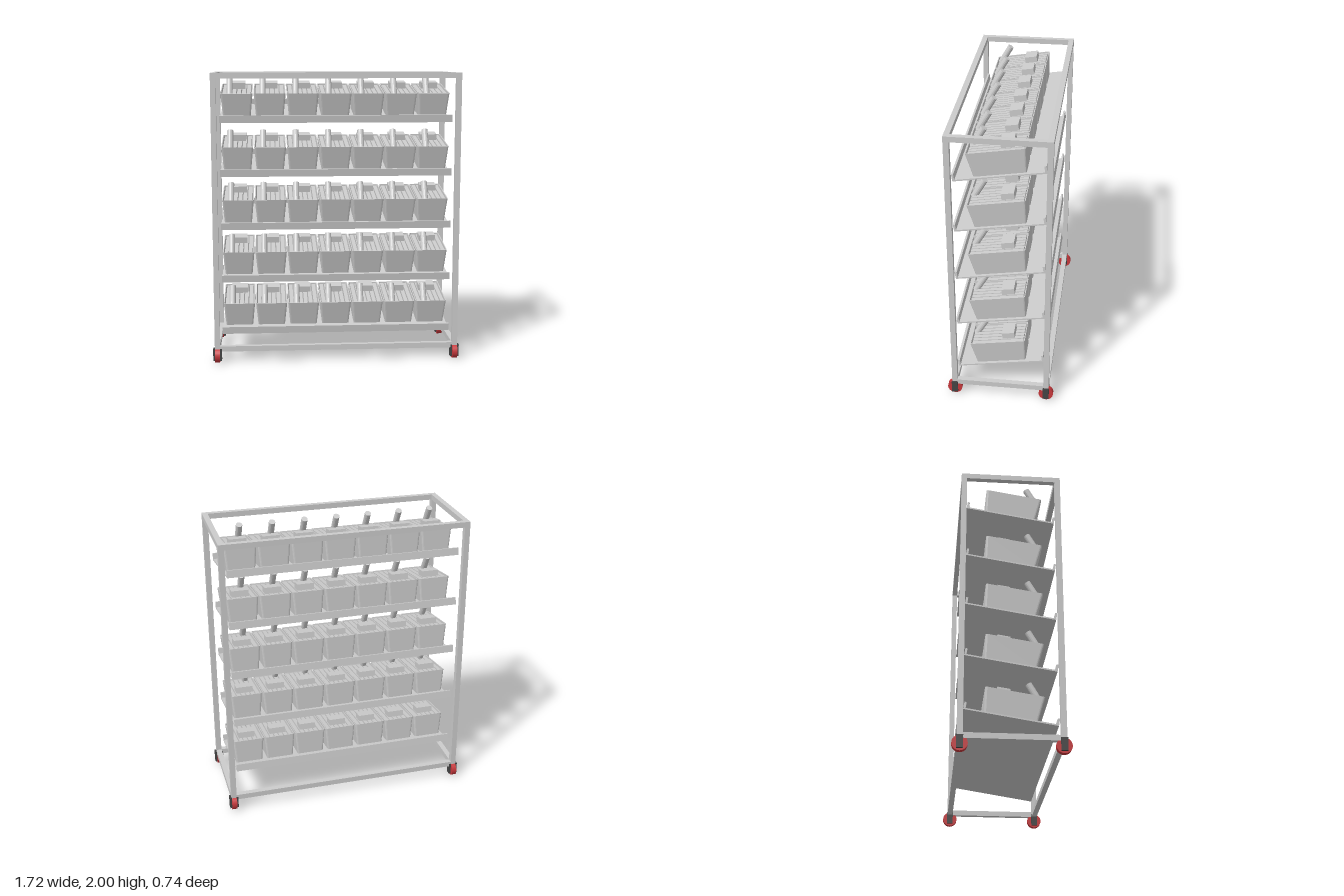
import * as THREE from 'three';

const grey = new THREE.MeshStandardMaterial({ color: 0xcccccc, flatShading: true });
const red = new THREE.MeshStandardMaterial({ color: 0xc8383c });
const dark = new THREE.MeshStandardMaterial({ color: 0x444444 });

function add(parent, name, geometry, x = 0, y = 0, z = 0, material = grey) {
  const mesh = new THREE.Mesh(geometry, material);
  mesh.name = name;
  mesh.position.set(x, y, z);
  parent.add(mesh);
  return mesh;
}

const box = (w, h, d) => new THREE.BoxGeometry(w, h, d);

// Rounded rectangle outline centred on the origin
function roundedRect(path, w, d, r) {
  const a = w / 2, b = d / 2;
  path.moveTo(-a + r, -b);
  path.lineTo(a - r, -b);
  path.quadraticCurveTo(a, -b, a, -b + r);
  path.lineTo(a, b - r);
  path.quadraticCurveTo(a, b, a - r, b);
  path.lineTo(-a + r, b);
  path.quadraticCurveTo(-a, b, -a, b - r);
  path.lineTo(-a, -b + r);
  path.quadraticCurveTo(-a, -b, -a + r, -b);
  return path;
}

// Upright prism narrowing towards its base
function taperedPrism(shape, height) {
  const g = new THREE.ExtrudeGeometry(shape, { depth: height, bevelEnabled: false, curveSegments: 3 });
  g.rotateX(-Math.PI / 2);
  const p = g.attributes.position;
  for (let i = 0; i < p.count; i++) {
    const t = p.getY(i) / BIN_H;
    p.setX(i, p.getX(i) * (0.86 + 0.14 * t));
    p.setZ(i, p.getZ(i) * (0.888 + 0.112 * t));
  }
  g.computeVertexNormals();
  return g;
}

const BIN_W = 0.22, BIN_D = 0.382, BIN_H = 0.169, WALL = 0.006;
const PITCH = 0.2265, TILT = THREE.MathUtils.degToRad(9);
const X = 0.832, Z = 0.318, BAR = 0.037;

const outline = roundedRect(new THREE.Shape(), BIN_W, BIN_D, 0.014);
const floorGeometry = taperedPrism(outline, 0.008);
const wallShape = outline.clone();
wallShape.holes.push(roundedRect(new THREE.Path(), BIN_W - 2 * WALL, BIN_D - 2 * WALL, 0.01));
const wallGeometry = taperedPrism(wallShape, BIN_H);
const slatGeometry = box(0.026, 0.04, 0.354);
const lidGeometry = box(0.116, 0.044, 0.086);

// Leaning tube, from inside the bin up and towards the back
const tubeFoot = new THREE.Vector3(-0.048, 0.149, 0.167);
const tubeTop = new THREE.Vector3(-0.048, 0.261, 0.076);
const tubeAxis = tubeTop.clone().sub(tubeFoot);
const tubeGeometry = new THREE.CylinderGeometry(0.022, 0.022, tubeAxis.length(), 14);

function makeBin() {
  const bin = new THREE.Group();
  bin.name = 'bin';
  add(bin, 'binWalls', wallGeometry);
  add(bin, 'binFloor', floorGeometry);
  for (let i = 0; i < 6; i++) add(bin, 'slat', slatGeometry, (i - 2.5) * 0.0335, 0.142, 0);
  add(bin, 'controlBox', lidGeometry, 0, 0.182, -0.073);
  const tube = add(bin, 'tube', tubeGeometry);
  tube.position.addVectors(tubeFoot, tubeTop).multiplyScalar(0.5);
  tube.quaternion.setFromUnitVectors(new THREE.Vector3(0, 1, 0), tubeAxis.clone().normalize());
  return bin;
}

// Sloping shelf with a lip at the front and back, and a row of bins
function makeShelf() {
  const shelf = new THREE.Group();
  shelf.name = 'shelf';
  add(shelf, 'shelfPlate', box(1.59, 0.01, 0.6), 0, -0.005, 0);
  for (const s of [-1, 1]) add(shelf, 'shelfLip', box(1.59, 0.05, 0.014), 0, 0.015, s * 0.293);
  for (let i = -3; i <= 3; i++) {
    const bin = makeBin();
    bin.position.x = i * PITCH;
    shelf.add(bin);
  }
  shelf.rotation.x = TILT;
  return shelf;
}

function makeCaster() {
  const caster = new THREE.Group();
  caster.name = 'caster';
  const wheel = new THREE.CylinderGeometry(0.05, 0.05, 0.034, 24).rotateZ(Math.PI / 2);
  add(caster, 'wheel', wheel, 0, 0.05, 0, red);
  for (const s of [-1, 1]) add(caster, 'fork', box(0.013, 0.085, 0.042), s * 0.0235, 0.0575, 0, dark);
  return caster;
}

export function createModel() {
  const model = new THREE.Group();
  model.name = 'binRack';

  // Frame: posts, casters and rails
  for (const sx of [-1, 1]) {
    for (const sz of [-1, 1]) {
      add(model, 'post', box(BAR, 1.92, BAR), sx * X, 1.04, sz * Z);
      const caster = makeCaster();
      caster.position.set(sx * X, 0, sz * Z);
      model.add(caster);
    }
  }
  for (const y of [0.0985, 1.9815]) {
    for (const s of [-1, 1]) {
      add(model, 'longRail', box(2 * X - BAR, BAR, BAR), 0, y, s * Z);
      add(model, 'sideRail', box(BAR, BAR, 2 * Z - BAR), s * X, y, 0);
    }
  }

  // Five shelves of bins
  for (let i = 0; i < 5; i++) {
    const shelf = makeShelf();
    shelf.position.y = 0.252 + i * 0.367;
    model.add(shelf);
  }
  return model;
}
